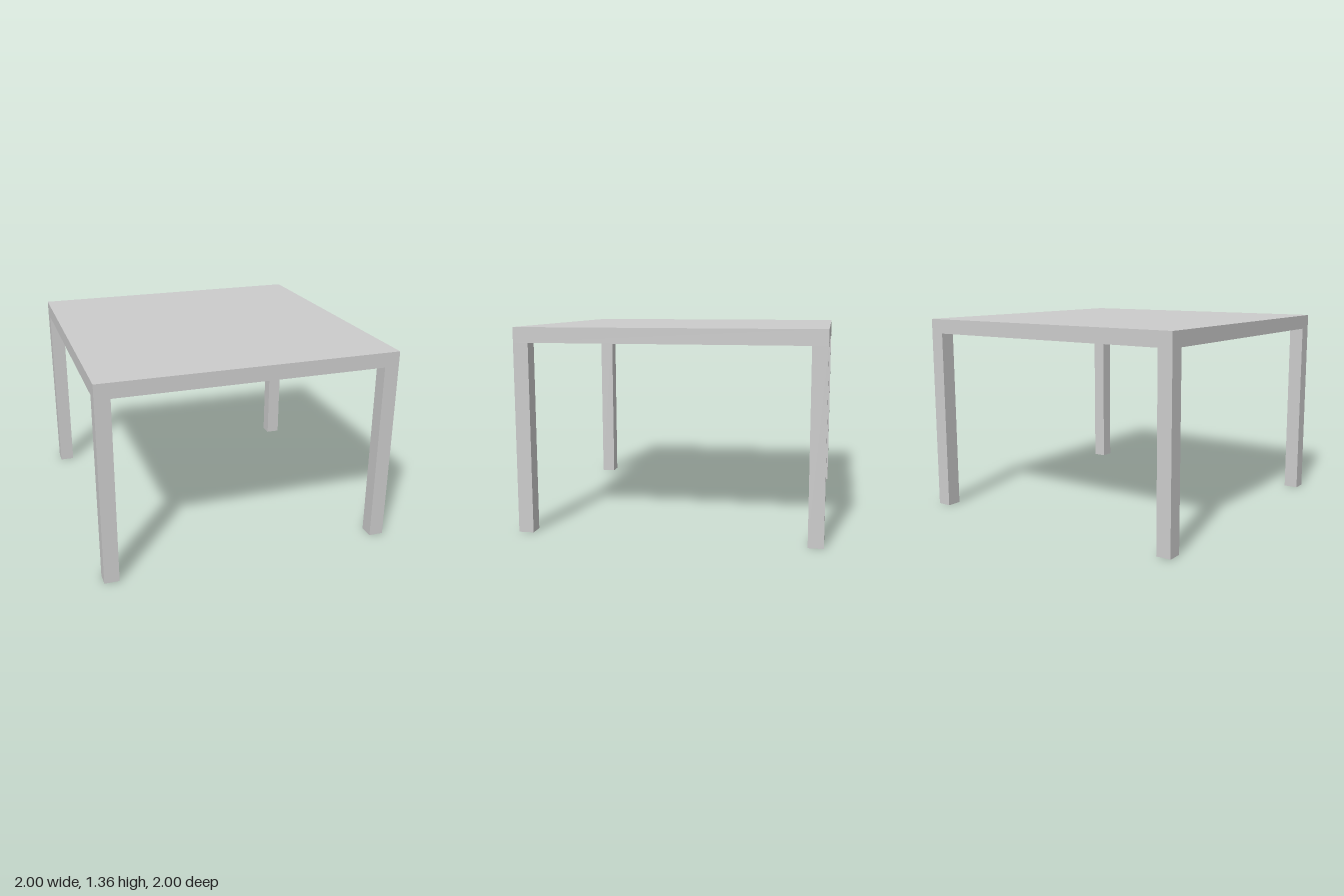
import * as THREE from 'three';

const SIZE = 2, HEIGHT = 1.355, TOP = 0.1, LEG = 0.1;

export function createModel() {
  const table = new THREE.Group();
  table.name = 'table';
  const material = new THREE.MeshStandardMaterial({ color: 0xcccccc });

  // Square slab top
  const top = new THREE.Mesh(new THREE.BoxGeometry(SIZE, TOP, SIZE), material);
  top.name = 'tableTop';
  top.position.y = HEIGHT - TOP / 2;
  table.add(top);

  // Four square legs, flush with the corners
  const legHeight = HEIGHT - TOP;
  const legGeometry = new THREE.BoxGeometry(LEG, legHeight, LEG);
  const offset = (SIZE - LEG) / 2;
  for (const [zName, z] of [['front', 1], ['back', -1]]) {
    for (const [xName, x] of [['Left', 1], ['Right', -1]]) {
      const leg = new THREE.Mesh(legGeometry, material);
      leg.name = `${zName}${xName}Leg`;
      leg.position.set(x * offset, legHeight / 2, z * offset);
      table.add(leg);
    }
  }
  return table;
}
